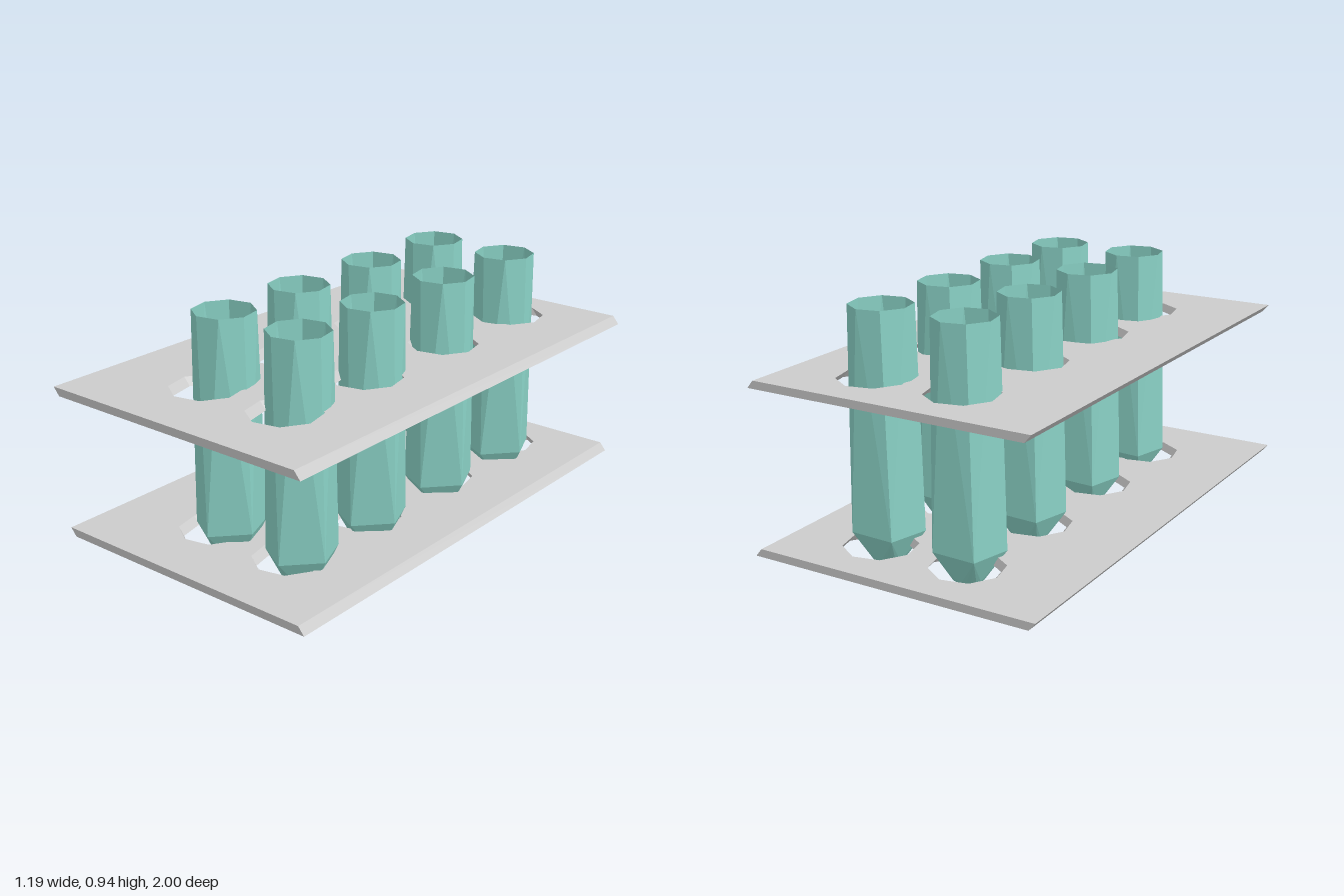
import * as THREE from 'three';

const GREY = new THREE.MeshStandardMaterial({ color: 0xcccccc });
const GREEN = new THREE.MeshStandardMaterial({ color: 0x8ad2c6, flatShading: true, side: THREE.DoubleSide });

// Horizontal ring of n corners around the y axis; tilt raises it towards +x
function ring(n, radius, y, startDeg, tilt = 0) {
  return Array.from({ length: n }, (_, i) => {
    const a = THREE.MathUtils.degToRad(startDeg) + (i / n) * Math.PI * 2;
    const x = radius * Math.cos(a);
    return new THREE.Vector3(x, y + tilt * x, radius * Math.sin(a));
  });
}

// Triangle strip joining two rings that may have different numbers of corners
function stitch(low, high, out) {
  let i = 0, j = 0;
  while (i < low.length || j < high.length) {
    const b = low[i % low.length], a = high[j % high.length];
    const stepLow = j >= high.length ||
      (i < low.length && (i + 0.5) / low.length <= (j + 0.5) / high.length);
    if (stepLow) out.push(b, a, low[++i % low.length]);
    else out.push(b, a, high[++j % high.length]);
  }
}

// Open-topped tube: octagonal rim, five-sided shoulder, small round foot
function tubeGeometry() {
  const foot = ring(20, 0.06, 0, 13);
  const shoulder = ring(5, 0.137, 0.117, 13, 0.07);
  const rim = ring(8, 0.116, 0.94, 10);
  const points = [];
  stitch(foot, shoulder, points);
  stitch(shoulder, rim, points);
  const centre = new THREE.Vector3();
  foot.forEach((p, i) => points.push(centre, p, foot[(i + 1) % foot.length]));
  const geometry = new THREE.BufferGeometry().setFromPoints(points);
  geometry.computeVertexNormals();
  return geometry;
}

// Thin plate with eight holes, its section slanted along x
function plateGeometry() {
  const thickness = 0.03;
  const shape = new THREE.Shape([
    new THREE.Vector2(-0.545, -1), new THREE.Vector2(0.57, -1),
    new THREE.Vector2(0.57, 0.932), new THREE.Vector2(-0.545, 0.932),
  ]);
  for (const x of [-0.13, 0.235]) {
    for (const z of [-0.685, -0.23, 0.235, 0.668]) {
      const corners = ring(8, 0.135, 0, 10).map((p) => new THREE.Vector2(x + p.x, -(z + p.z)));
      shape.holes.push(new THREE.Path(corners.reverse()));
    }
  }
  const geometry = new THREE.ExtrudeGeometry(shape, { depth: thickness, bevelEnabled: false });
  geometry.rotateX(-Math.PI / 2);
  const pos = geometry.attributes.position;
  for (let i = 0; i < pos.count; i++) {
    pos.setX(i, pos.getX(i) + 0.025 * (1 - pos.getY(i) / thickness));
  }
  geometry.computeVertexNormals();
  return geometry;
}

export function createModel() {
  const model = new THREE.Group();
  model.name = 'tubeRack';

  // Two staggered plates
  const plate = plateGeometry();
  const upper = new THREE.Mesh(plate, GREY);
  upper.name = 'upperPlate';
  upper.position.set(0, 0.65, 0);
  const lower = new THREE.Mesh(plate, GREY);
  lower.name = 'lowerPlate';
  lower.position.set(-0.055, 0.06, -0.068);
  model.add(upper, lower);

  // Two columns of four tubes
  const tubes = new THREE.Group();
  tubes.name = 'tubes';
  const tube = tubeGeometry();
  for (const x of [-0.126, 0.218]) {
    for (const z of [-0.657, -0.245, 0.18, 0.573]) {
      const mesh = new THREE.Mesh(tube, GREEN);
      mesh.name = 'tube';
      mesh.position.set(x, 0, z);
      tubes.add(mesh);
    }
  }
  model.add(tubes);
  return model;
}
